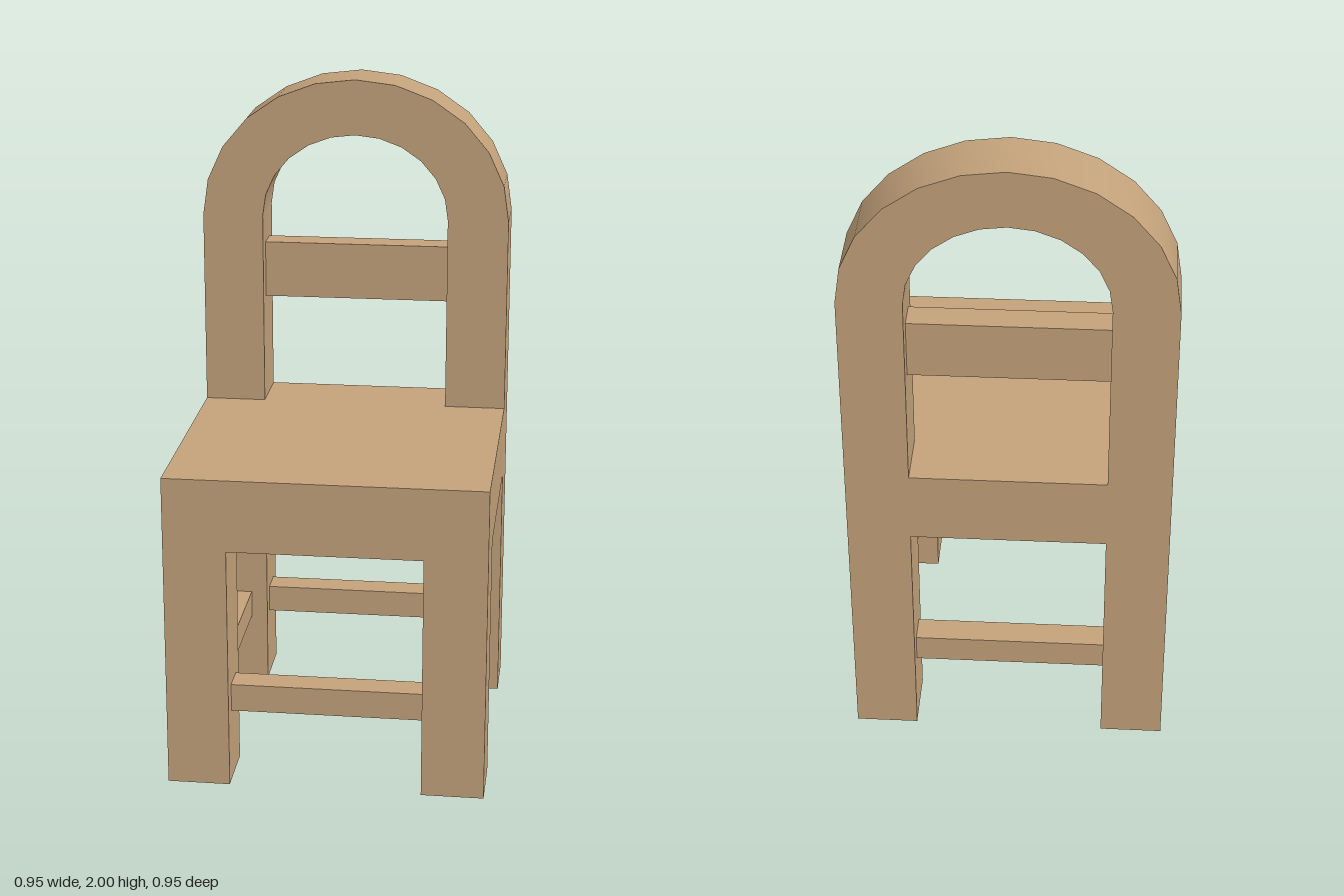
import * as THREE from 'three';
import { toCreasedNormals } from 'three/addons/utils/BufferGeometryUtils.js';

const OUT = 0.475;            // half width and half depth
const IN = 0.288;             // inner edge of the legs
const MID = (OUT + IN) / 2;   // centre line of the legs
const LEG = OUT - IN;
const SEAT_LOW = 0.75, SEAT_TOP = 0.97;
const SPRING = 1.57;          // height where the arch begins
const RUNG = 0.085;

// Points of a half ellipse from the +x side over to the -x side
function arch(rx, ry) {
  const points = [];
  for (let i = 0; i <= 12; i++) {
    const a = (i / 12) * Math.PI;
    points.push(new THREE.Vector2(rx * Math.cos(a), SPRING + ry * Math.sin(a)));
  }
  return points;
}

export function createModel() {
  const chair = new THREE.Group();
  chair.name = 'chair';
  const wood = new THREE.MeshStandardMaterial({ color: 0xc3a27b });
  wood.name = 'wood';

  function add(name, geometry, x = 0, y = 0, z = 0) {
    const mesh = new THREE.Mesh(geometry, wood);
    mesh.name = name;
    mesh.position.set(x, y, z);
    chair.add(mesh);
  }
  const box = (name, w, h, d, x, y, z) => add(name, new THREE.BoxGeometry(w, h, d), x, y, z);

  // Back frame: rear legs, seat rail and arched top in one piece
  const v = (x, y) => new THREE.Vector2(x, y);
  const frame = new THREE.Shape([
    v(-OUT, 0), v(-IN, 0), v(-IN, SEAT_LOW), v(IN, SEAT_LOW), v(IN, 0), v(OUT, 0),
    ...arch(OUT, 2 - SPRING),
  ]);
  frame.holes.push(new THREE.Path([v(-IN, SEAT_TOP), v(IN, SEAT_TOP), ...arch(IN, 0.26)]));
  const frameGeometry = new THREE.ExtrudeGeometry(frame, { depth: LEG, bevelEnabled: false });
  add('backFrame', toCreasedNormals(frameGeometry, 0.6), 0, 0, -OUT);

  // Seat block in front of the back frame
  box('seat', 2 * OUT, SEAT_TOP - SEAT_LOW, OUT + IN, 0, (SEAT_LOW + SEAT_TOP) / 2, LEG / 2);

  // Slat across the back
  box('backSlat', 2 * IN, 0.175, RUNG, 0, 1.3875, -MID);

  // Front legs and the four rungs
  for (const [side, s] of [['left', 1], ['right', -1]]) {
    box(side + 'FrontLeg', LEG, SEAT_LOW, LEG, s * MID, SEAT_LOW / 2, MID);
    box(side + 'Rung', RUNG, RUNG, 2 * IN, s * MID, 0.2625, 0);
  }
  box('frontRung', 2 * IN, RUNG, RUNG, 0, 0.2625, MID);
  box('backRung', 2 * IN, RUNG, RUNG, 0, 0.2625, -MID);

  return chair;
}
